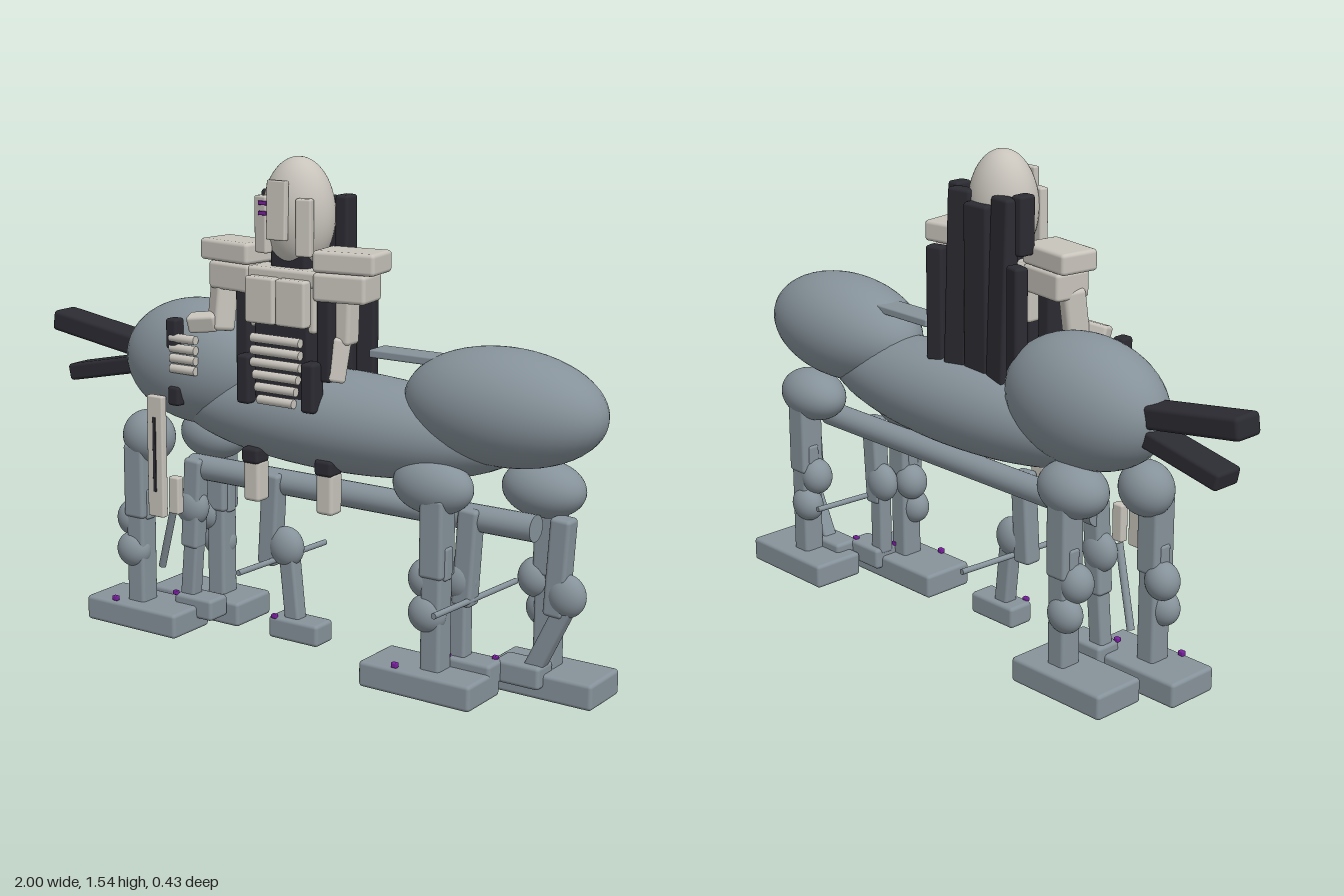
import * as THREE from 'three';
import { RoundedBoxGeometry } from 'three/addons/geometries/RoundedBoxGeometry.js';

function material(name, color) {
  const m = new THREE.MeshStandardMaterial({ color });
  m.name = name;
  return m;
}

export function createModel() {
  const steel = material('steel grey', 0x86929a);
  const bone = material('bone white', 0xc8c4bc);
  const coal = material('charcoal', 0x2b2b32);
  const violet = material('violet', 0x7a1fa0);

  const model = new THREE.Group();
  model.name = 'mountedWalker';
  let parent = model;

  function section(name, x = 0, y = 0, z = 0) {
    parent = new THREE.Group();
    parent.name = name;
    parent.position.set(x, y, z);
    model.add(parent);
    return parent;
  }
  function add(name, geometry, mat, x, y, z) {
    const mesh = new THREE.Mesh(geometry, mat);
    mesh.name = name;
    mesh.position.set(x, y, z);
    parent.add(mesh);
    return mesh;
  }
  // Box with softened edges
  function box(name, mat, w, h, d, x, y, z, rx = 0, ry = 0, rz = 0) {
    const r = Math.min(0.012, Math.min(w, h, d) * 0.22);
    const mesh = add(name, new RoundedBoxGeometry(w, h, d, 2, r), mat, x, y, z);
    mesh.rotation.set(rx, ry, rz);
    return mesh;
  }
  function ellipsoid(name, mat, rx, ry, rz, x, y, z) {
    const mesh = add(name, new THREE.SphereGeometry(1, 40, 28), mat, x, y, z);
    mesh.scale.set(rx, ry, rz);
    return mesh;
  }
  // Beam between two points; round when no depth is given
  function beam(name, mat, a, b, w, d) {
    const p = new THREE.Vector3(...a), q = new THREE.Vector3(...b);
    const dir = q.clone().sub(p), len = dir.length();
    const geo = d
      ? new RoundedBoxGeometry(w, len, d, 2, Math.min(w, d) * 0.2)
      : new THREE.CylinderGeometry(w, w, len, 20);
    const mid = p.add(q).multiplyScalar(0.5);
    const mesh = add(name, geo, mat, mid.x, mid.y, mid.z);
    mesh.quaternion.setFromUnitVectors(new THREE.Vector3(0, 1, 0), dir.normalize());
    return mesh;
  }

  // Long body with a bulge at each end, keel tube, tail and saddle plate
  section('body');
  ellipsoid('belly', steel, 0.62, 0.155, 0.165, 0.12, 0.75, -0.01);
  ellipsoid('headBulge', steel, 0.32, 0.172, 0.172, 0.68, 0.862, -0.016);
  ellipsoid('rumpBulge', steel, 0.29, 0.2, 0.17, -0.4, 0.87, -0.018);
  beam('keelTube', steel, [-0.44, 0.527, 0], [0.8, 0.527, 0], 0.04);
  beam('upperTail', coal, [-0.6, 0.885, -0.018], [-1, 0.945, -0.018], 0.068, 0.1);
  beam('lowerTail', coal, [-0.6, 0.845, -0.018], [-0.935, 0.775, -0.018], 0.055, 0.1);
  box('saddlePlate', steel, 0.28, 0.025, 0.085, 0.38, 0.972, -0.022);

  // Four main legs: hip, shin, knee joints, foot
  const mainLegs = [
    // x hip, x shin, x foot, side, hip half width, foot length
    ['frontLeftLeg', 0.5, 0.53, 0.505, 1, 0.13, 0.38],
    ['backLeftLeg', 0.775, 0.785, 0.8, -1, 0.13, 0.35],
    ['frontRightLeg', -0.56, -0.58, -0.565, 1, 0.09, 0.365],
    ['backRightLeg', -0.42, -0.42, -0.47, -1, 0.12, 0.36],
  ];
  for (const [name, hip, shin, foot, side, hw, len] of mainLegs) {
    section(name);
    const z = side > 0 ? 0.095 : -0.12;
    ellipsoid('hip', steel, hw, 0.085, side > 0 ? 0.075 : 0.088, hip, 0.622, side > 0 ? 0.072 : -0.088);
    box('thigh', steel, 0.078, 0.24, 0.085, shin, 0.48, z);
    box('shin', steel, 0.068, 0.34, 0.075, shin, 0.24, z);
    ellipsoid('upperKnee', steel, 0.055, 0.06, 0.05, shin - 0.04, 0.345, z - side * 0.01);
    ellipsoid('lowerKnee', steel, 0.06, 0.058, 0.045, shin - 0.02, 0.248, z + side * 0.015);
    box('shinGuard', steel, 0.09, 0.1, 0.04, shin, 0.405, z);
    box('foot', steel, len, 0.08, 0.18, foot, 0.042, side > 0 ? 0.09 : -0.12);
    if (side > 0) box('toeLight', violet, 0.02, 0.016, 0.016, foot - 0.07, 0.09, 0.165);
  }

  // Slim inner legs with side rods
  const slimLegs = [
    // x top, x knee, x ankle, x foot, z, knee height
    ['middleLeg', -0.1, -0.055, -0.02, -0.003, 0.025, 0.33],
    ['innerLeftLeg', 0.865, 0.88, 0.78, 0.745, -0.045, 0.33],
    ['innerFrontLeg', 0.6, 0.56, 0.57, 0.62, 0.02, 0.34],
    ['innerRightLeg', -0.41, -0.43, -0.44, -0.4, 0.02, 0.4],
  ];
  for (const [name, top, knee, ankle, foot, z, ky] of slimLegs) {
    section(name);
    const bend = top - 0.018;
    beam('thigh', steel, [top, 0.56, z], [bend, 0.265, z], 0.065, 0.06);
    ellipsoid('knee', steel, 0.06, 0.064, 0.042, knee, ky, z);
    beam('shin', steel, [knee + 0.01, 0.32, z], [ankle, 0.09, z], 0.055, 0.05);
    box('foot', steel, name === 'middleLeg' ? 0.185 : 0.15, 0.07, 0.09, foot, 0.075, z);
    box('toeLight', violet, 0.018, 0.014, 0.016, foot - 0.07, 0.112, z + 0.04);
  }
  section('sideRods');
  for (const x of [-0.09, 0.605]) {
    beam('sideRod', steel, [x - 0.01, 0.285, 0.215], [x + 0.02, 0.285, -0.205], 0.009);
  }
  beam('slantRod', steel, [-0.55, 0.18, 0.03], [-0.46, 0.42, 0.07], 0.012);

  // Rider torso
  section('riderTorso');
  box('chestCore', bone, 0.24, 0.18, 0.1, 0, 1.12, 0.075);
  box('collar', bone, 0.25, 0.05, 0.1, 0, 1.19, 0.08);
  box('neck', coal, 0.13, 0.1, 0.09, 0, 1.225, 0.05);
  box('waist', coal, 0.2, 0.28, 0.08, 0, 0.95, 0.09);
  for (const s of [-1, 1]) {
    box('chestPlate', bone, 0.105, 0.14, 0.04, s * 0.056, 1.12, 0.145);
    box('sideStrap', coal, 0.05, 0.26, 0.07, s * 0.148, 1.02, 0.09);
    box('hipStrap', coal, 0.048, 0.15, 0.06, s * 0.118, 0.875, 0.135);
  }
  for (let i = 0; i < 6; i++) {
    const half = 0.088 - (i > 2 ? (i - 2) * 0.008 : 0);
    const y = 1.005 - i * 0.037;
    beam('abdomenRib', bone, [-half, y, 0.152], [half, y, 0.152], 0.014);
  }

  // Head
  section('riderHead');
  ellipsoid('helmet', bone, 0.115, 0.17, 0.097, 0, 1.368, 0.035);
  box('facePlate', bone, 0.068, 0.175, 0.022, -0.005, 1.388, 0.137, -0.03);
  for (const s of [-1, 1]) {
    box('cheekPlate', bone, 0.05, 0.17, 0.03, s * 0.075, 1.34, 0.112, 0, s * 0.2);
  }
  for (const y of [1.405, 1.375]) box('eye', violet, 0.03, 0.012, 0.008, -0.062, y, 0.132);

  // Shoulders
  section('riderShoulders');
  for (const s of [-1, 1]) {
    const turn = s * 0.14;
    box('upperShoulder', bone, 0.2, 0.065, 0.13, s * 0.208, 1.248, 0.062, 0, turn);
    box('lowerShoulder', bone, 0.17, 0.085, 0.12, s * 0.192, 1.172, 0.064, 0, turn);
  }

  // Right arm hangs out to the grip, left arm hangs straight down
  section('riderArms');
  beam('rightUpperArm', bone, [-0.25, 1.16, 0.07], [-0.255, 1, 0.09], 0.07, 0.07);
  beam('rightForearm', bone, [-0.25, 1.03, 0.11], [-0.34, 1.02, 0.135], 0.055, 0.05);
  beam('leftUpperArm', bone, [0.185, 1.16, 0.06], [0.18, 1.0, 0.06], 0.07, 0.065);
  beam('leftForearm', bone, [0.18, 1.02, 0.07], [0.17, 0.89, 0.09], 0.055, 0.055);
  for (let i = 0; i < 4; i++) {
    const y = 0.97 - i * 0.032;
    beam('finger', bone, [-0.4, y, 0.15], [-0.305, y, 0.15], 0.014);
  }

  // Held blade with a dark slot
  section('heldBlade');
  box('gripTop', coal, 0.042, 0.095, 0.045, -0.395, 0.982, 0.138);
  box('gripBottom', coal, 0.042, 0.06, 0.045, -0.395, 0.785, 0.132);
  box('blade', bone, 0.062, 0.39, 0.026, -0.468, 0.583, 0.145);
  box('bladeSlot', coal, 0.012, 0.24, 0.008, -0.468, 0.59, 0.157);
  box('bladeGuard', bone, 0.04, 0.12, 0.03, -0.415, 0.46, 0.12);

  // Rider feet below the belly
  section('riderFeet');
  for (const s of [-1, 1]) {
    const x = 0.013 + s * 0.135;
    box('boot', bone, 0.06, 0.13, 0.06, x, 0.55, 0.09);
    box('bootCuff', coal, 0.062, 0.05, 0.065, x, 0.63, 0.095);
  }

  // Folded wing slabs on the back
  section('backSlabs');
  box('centreSlab', coal, 0.1, 0.52, 0.05, 0, 1.13, -0.06);
  for (const s of [-1, 1]) {
    box('tallSlab', coal, 0.085, 0.56, 0.05, s * 0.09, 1.14, -0.055, 0.04, s * 0.15);
    box('cornerSlab', coal, 0.045, 0.18, 0.06, s * 0.135, 1.34, -0.015);
    box('shortSlab', coal, 0.06, 0.36, 0.045, s * 0.172, 1.055, -0.075, 0, s * 0.25);
  }

  return model;
}
